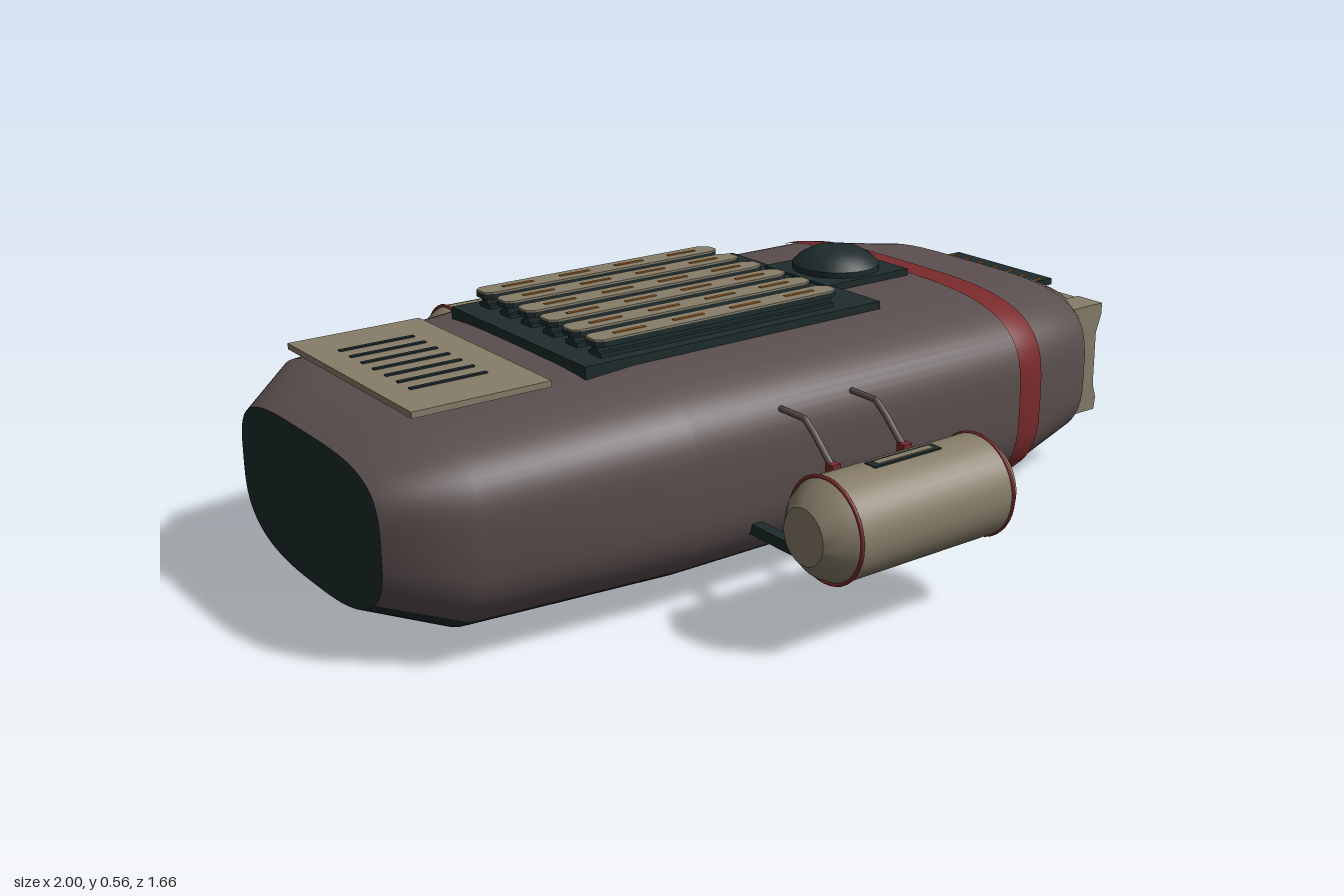
import * as THREE from 'three';
import { toCreasedNormals } from 'three/addons/utils/BufferGeometryUtils.js';

const paint = (name, color) => {
  const m = new THREE.MeshStandardMaterial({ color });
  m.name = name;
  return m;
};

// Hull stations: x, half width, bottom, top
const STATIONS = [
  [-1, 0.31, 0.07, 0.395], [-0.86, 0.437, 0.02, 0.452], [-0.4, 0.484, 0.008, 0.485],
  [0.53, 0.476, 0.003, 0.487], [0.79, 0.4, 0.045, 0.452], [0.9, 0.29, 0.085, 0.41],
];
const SEGMENTS = 72;

function stationAt(x) {
  let i = 0;
  while (i < STATIONS.length - 2 && x > STATIONS[i + 1][0]) i++;
  const a = STATIONS[i], b = STATIONS[i + 1], t = (x - a[0]) / (b[0] - a[0]);
  return a.map((v, k) => v + (b[k] - v) * t);
}

// Rounded cross-section as [z, y] points, from +z up over the top
function section([, half, y0, y1], grow = 0) {
  const pts = [], cy = (y0 + y1) / 2, hy = (y1 - y0) / 2 + grow;
  for (let j = 0; j < SEGMENTS; j++) {
    const t = (j / SEGMENTS) * Math.PI * 2, c = Math.cos(t), s = Math.sin(t);
    const p = 2 / (s > 0 ? 3.8 : 2.8);
    pts.push([Math.sign(c) * Math.abs(c) ** p * (half + grow), cy + Math.sign(s) * Math.abs(s) ** p * hy]);
  }
  return pts;
}

// Skin through the stations; group 0 is the upper hull, group 1 the underside
function loft(stations, grow = 0) {
  const pos = [], upper = [], under = [];
  stations.forEach((st) => section(st, grow).forEach(([z, y]) => pos.push(st[0], y, z)));
  for (let i = 0; i < stations.length - 1; i++) {
    for (let j = 0; j < SEGMENTS; j++) {
      const a = i * SEGMENTS + j, b = i * SEGMENTS + ((j + 1) % SEGMENTS);
      const c = a + SEGMENTS, d = b + SEGMENTS;
      const isUnder = j >= SEGMENTS * 0.597 && j < SEGMENTS * 0.9;
      (isUnder ? under : upper).push(a, c, b, b, c, d);
    }
  }
  const g = new THREE.BufferGeometry();
  g.setAttribute('position', new THREE.Float32BufferAttribute(pos, 3));
  g.setIndex([...upper, ...under]);
  g.addGroup(0, upper.length, 0);
  g.addGroup(upper.length, under.length, 1);
  g.computeVertexNormals();
  return g;
}

export function createModel() {
  const root = new THREE.Group();
  root.name = 'vessel';
  const hullMat = paint('hull brown', 0x5b4e4e);
  const tan = paint('panel tan', 0x877d69);
  const dark = paint('dark metal', 0x1e2b2c);
  const red = paint('stripe red', 0x7a2a2c);
  const orange = paint('glow orange', 0xa86a2a);

  const add = (parent, name, geo, mat, x = 0, y = 0, z = 0) => {
    const m = new THREE.Mesh(geo, mat);
    m.name = name;
    m.position.set(x, y, z);
    parent.add(m);
    return m;
  };
  // Box given by its minimum and maximum on each axis
  const box = (parent, name, mat, x0, x1, y0, y1, z0, z1) =>
    add(parent, name, new THREE.BoxGeometry(x1 - x0, y1 - y0, z1 - z0), mat,
      (x0 + x1) / 2, (y0 + y1) / 2, (z0 + z1) / 2);

  // Hull skin, end faces and painted band
  add(root, 'hull', loft(STATIONS), [hullMat, dark]);
  [[0, dark, 'rearFace', -1], [5, hullMat, 'noseFace', 1]].forEach(([i, mat, name, side]) => {
    const shape = new THREE.Shape(section(STATIONS[i]).map(([z, y]) => new THREE.Vector2(z, y)));
    const face = add(root, name, new THREE.ShapeGeometry(shape), mat, STATIONS[i][0]);
    face.rotation.y = (side * Math.PI) / 2;
  });
  add(root, 'hullStripe', loft([0.49, 0.53, 0.57].map(stationAt), 0.004), [red, red]);

  // Rear roof plate with slots
  box(root, 'rearPlate', tan, -0.9, -0.595, 0.473, 0.486, -0.27, 0.265);
  for (let i = 0; i < 7; i++) {
    const z = -0.154 + i * 0.05;
    box(root, 'rearSlot', dark, -0.84, -0.67, 0.484, 0.489, z - 0.005, z + 0.005);
  }

  // Radiator deck with ribs
  box(root, 'radiatorBase', dark, -0.515, 0.26, 0.465, 0.497, -0.27, 0.263);
  const cap = new THREE.Shape([
    [-0.47, -0.016], [-0.455, -0.028], [0.135, -0.028], [0.16, -0.014],
    [0.16, 0.014], [0.135, 0.028], [-0.455, 0.028], [-0.47, 0.016],
  ].map(([x, y]) => new THREE.Vector2(x, y)));
  const slab = (depth) =>
    new THREE.ExtrudeGeometry(cap, { depth, bevelEnabled: false }).rotateX(-Math.PI / 2);
  for (let i = 0; i < 6; i++) {
    const rib = new THREE.Group();
    rib.name = 'radiatorRib';
    rib.position.z = -0.22 + i * 0.0865;
    root.add(rib);
    box(rib, 'ribFoot', dark, -0.46, 0.15, 0.495, 0.506, -0.022, 0.022);
    box(rib, 'ribStem', dark, -0.46, 0.15, 0.504, 0.522, -0.011, 0.011);
    add(rib, 'ribCap', slab(0.012), dark, 0, 0.52, 0);
    add(rib, 'ribTop', slab(0.004), tan, 0, 0.532, 0);
    for (let k = 0; k < 4; k++) {
      const x = -0.414 + k * 0.148;
      box(rib, 'ribLight', orange, x, x + 0.078, 0.534, 0.538, -0.004, 0.004);
    }
  }

  // Sensor dome on a square base
  box(root, 'domeBase', dark, 0.237, 0.485, 0.47, 0.502, -0.117, 0.11);
  const domeProfile = [[0.102, 0.5], [0.102, 0.515], [0.085, 0.532], [0.058, 0.547], [0.03, 0.553], [0, 0.555]]
    .map(([r, y]) => new THREE.Vector2(r, y));
  add(root, 'dome', toCreasedNormals(new THREE.LatheGeometry(domeProfile, 32), 0.6), dark, 0.36, 0, -0.004);

  // Nose intake: frame, dark grille and glowing bars
  const intake = new THREE.Group();
  intake.name = 'noseIntake';
  root.add(intake);
  box(intake, 'frameTop', tan, 0.925, 1, 0.32, 0.36, -0.205, 0.205);
  box(intake, 'frameBottom', tan, 0.925, 1, 0.15, 0.19, -0.205, 0.205);
  box(intake, 'grilleBack', dark, 0.93, 0.962, 0.188, 0.322, -0.185, 0.185);
  for (const s of [-1, 1]) {
    add(intake, 'frameSide', new THREE.BoxGeometry(0.065, 0.132, 0.024), tan, 0.96, 0.255, s * 0.19);
  }
  for (let i = 0; i < 5; i++) {
    const z = (i - 2) * 0.058;
    box(intake, 'grilleBar', orange, 0.961, 0.968, 0.203, 0.302, z - 0.006, z + 0.006);
  }

  // Vent strip above the intake
  box(root, 'ventStrip', dark, 0.865, 0.925, 0.402, 0.417, -0.165, 0.16);
  for (let i = 0; i < 7; i++) {
    const z = -0.15 + i * 0.05;
    box(root, 'ventLight', orange, 0.87, 0.9, 0.415, 0.419, z - 0.004, z + 0.004);
  }

  // Flared corner brackets beside the nose
  const bracket = new THREE.Shape([
    [0.8, 0.135], [0.893, 0.135], [0.897, 0.165], [0.885, 0.2], [0.883, 0.33],
    [0.898, 0.375], [0.898, 0.402], [0.8, 0.402],
  ].map(([x, y]) => new THREE.Vector2(x, y)));
  const bracketGeo = new THREE.ExtrudeGeometry(bracket, { depth: 0.076, bevelEnabled: false });
  add(root, 'leftBracket', bracketGeo, tan, 0, 0, 0.272);
  add(root, 'rightBracket', bracketGeo, tan, 0, 0, -0.348);

  // Side pods; the second one is turned to the far side
  const podProfile = [[0, -0.335], [0.058, -0.335], [0.09, -0.305], [0.106, -0.275], [0.106, 0.115],
    [0.09, 0.14], [0.058, 0.165], [0, 0.165]].map(([r, y]) => new THREE.Vector2(r, y));
  const podGeo = toCreasedNormals(new THREE.LatheGeometry(podProfile, 40).rotateZ(-Math.PI / 2), 0.45);
  const ringGeo = new THREE.TorusGeometry(0.106, 0.004, 8, 40).rotateY(Math.PI / 2);
  const tipGeo = new THREE.CylinderGeometry(0.016, 0.016, 0.014, 16).rotateZ(Math.PI / 2);
  for (const s of [1, -1]) {
    const pod = new THREE.Group();
    pod.name = s > 0 ? 'leftPod' : 'rightPod';
    root.add(pod);
    const sideBox = (name, mat, x0, x1, y0, y1, z0, z1) =>
      box(pod, name, mat, x0, x1, y0, y1, Math.min(s * z0, s * z1), Math.max(s * z0, s * z1));
    add(pod, 'podBody', podGeo, tan, 0, 0.245, s * 0.72);
    add(pod, 'podTip', tipGeo, dark, 0.17, 0.245, s * 0.72);
    [-0.28, 0.115].forEach((x) => add(pod, 'podRing', ringGeo, red, x, 0.245, s * 0.72));
    sideBox('podHatch', dark, -0.172, 0.002, 0.34, 0.353, 0.705, 0.735);
    sideBox('podHatchInset', tan, -0.158, -0.012, 0.35, 0.355, 0.712, 0.728);
    // Mounting struts
    [-0.25, 0.08].forEach((x) => {
      sideBox('strut', dark, x - 0.013, x + 0.013, 0.146, 0.17, 0.43, 0.67);
      sideBox('strutClamp', orange, x - 0.017, x + 0.017, 0.14, 0.158, 0.65, 0.69);
    });
    // Feed pipes
    [-0.18, 0.008].forEach((x) => {
      const path = new THREE.CurvePath();
      const pts = [[0.395, 0.46], [0.395, 0.535], [0.372, 0.565], [0.338, 0.6], [0.315, 0.625]]
        .map(([y, z]) => new THREE.Vector3(x, y, s * z));
      for (let i = 0; i < pts.length - 1; i++) path.add(new THREE.LineCurve3(pts[i], pts[i + 1]));
      add(pod, 'feedPipe', new THREE.TubeGeometry(path, 24, 0.007, 8), hullMat);
      sideBox('pipeJoint', red, x - 0.011, x + 0.011, 0.306, 0.328, 0.612, 0.634);
    });
  }
  return root;
}
